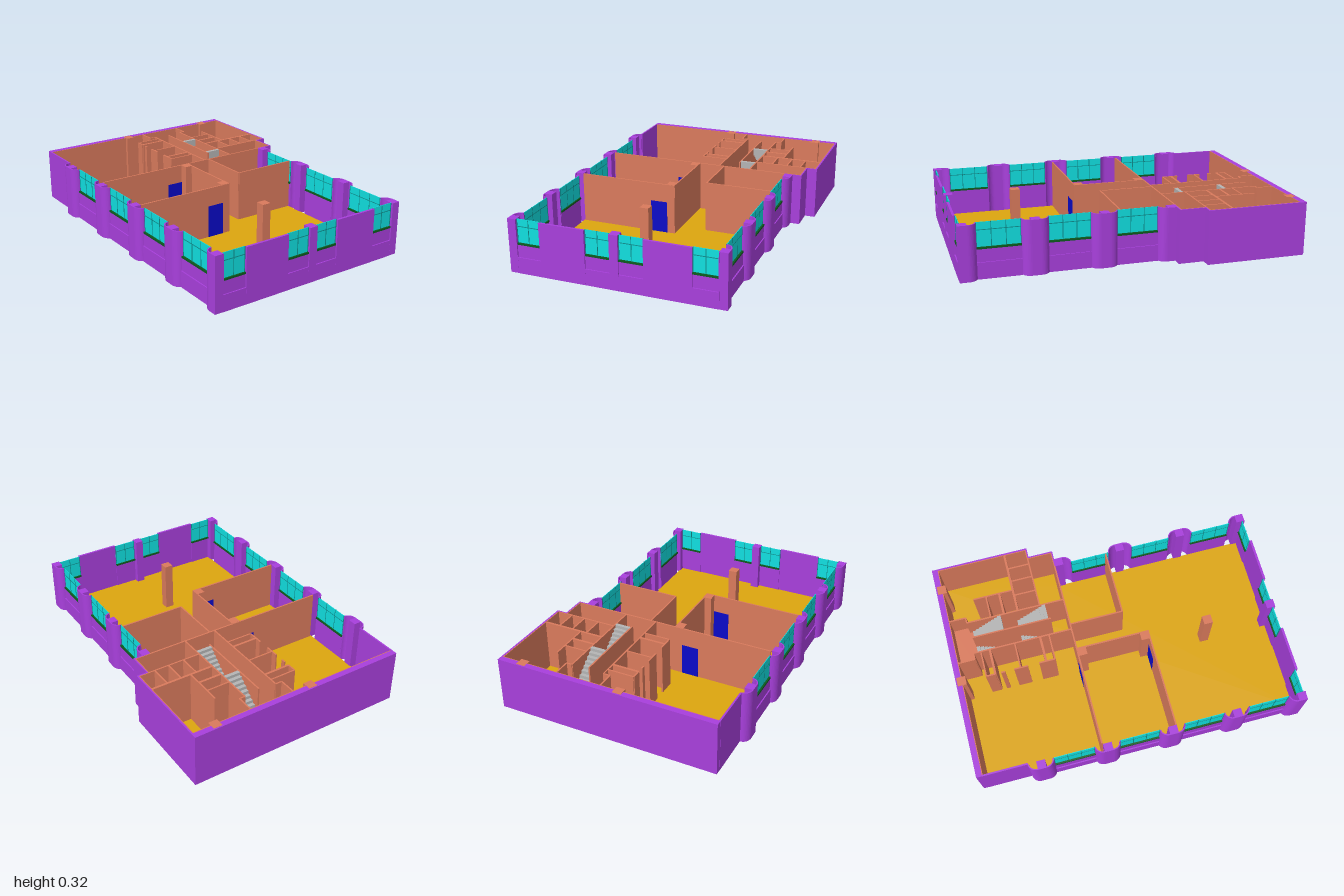
import * as THREE from 'three';

const H = 0.324;     // wall height
const SLAB = 0.012;  // floor thickness
const AXIS = -0.0625; // the long sides mirror about this x
const paint = (color) => new THREE.MeshStandardMaterial({ color });
const purple = paint(0xa83fdc), clay = paint(0xd97a5c), yellow = paint(0xdca50f);
const glass = paint(0x10dfe0), green = paint(0x0b5a1e), frame = paint(0x0b8f8f);
const blue = paint(0x0a0ac8), grey = paint(0xb4b4b4);

// Box given by its limits on each axis
function block(parent, name, mat, x0, x1, y0, y1, z0, z1) {
  const m = new THREE.Mesh(new THREE.BoxGeometry(Math.abs(x1 - x0), y1 - y0, Math.abs(z1 - z0)), mat);
  m.position.set((x0 + x1) / 2, (y0 + y1) / 2, (z0 + z1) / 2);
  m.name = name;
  parent.add(m);
  return m;
}

// Plan outline of [x, z] points raised from y0 to y1
function slab(parent, name, mat, pts, y0, y1) {
  const shape = new THREE.Shape(pts.map(([x, z]) => new THREE.Vector2(x, -z)));
  const geo = new THREE.ExtrudeGeometry(shape, { depth: y1 - y0, bevelEnabled: false });
  geo.rotateX(-Math.PI / 2).translate(0, y0, 0);
  const m = new THREE.Mesh(geo, mat);
  m.name = name;
  parent.add(m);
  return m;
}

// Window bay of width w facing local +z: recessed panel, sill, glass and bars
function windowBay(w, depth, bars) {
  const g = new THREE.Group();
  g.name = 'windowBay';
  const h = w / 2;
  block(g, 'baseWall', purple, -h, h, 0, 0.097, -depth, 0);
  block(g, 'recessedPanel', purple, -h, h, 0.097, 0.172, -depth, -0.007);
  block(g, 'sill', green, -h, h, 0.172, 0.183, -depth - 0.008, -0.005);
  block(g, 'pane', glass, -h, h, 0.183, H, -depth, -depth + 0.004);
  block(g, 'transom', frame, -h, h, 0.278, 0.282, -depth - 0.001, -depth + 0.006);
  for (let i = 0; i <= bars + 1; i++) {
    const x = -h + 0.002 + (i * (w - 0.004)) / (bars + 1);
    block(g, 'mullion', frame, x - 0.002, x + 0.002, 0.183, H, -depth - 0.001, -depth + 0.006);
  }
  return g;
}

// Quarter-round shell running from the wall to the pier block
function pierShell(parent, s, z, dir) {
  const pts = [], t = 0.007, inner = 0.593, rx = 0.046, rz = 0.052;
  const at = (k, cut) => {
    const a = (k / 10) * Math.PI / 2;
    return [AXIS + s * (inner + (rx - cut) * Math.sin(a)), z + dir * (0.026 + (rz - cut) * Math.cos(a))];
  };
  for (let k = 0; k <= 10; k++) pts.push(at(k, 0));
  for (let k = 10; k >= 0; k--) pts.push(at(k, t));
  slab(parent, 'pierShell', purple, pts, 0, H);
}

// Long side, s = -1 or 1, with piers and window bays
function longSide(s, piers) {
  const g = new THREE.Group();
  g.name = s > 0 ? 'leftSide' : 'rightSide';
  const X = (d) => AXIS + s * d;
  piers.forEach((z, i) => {
    block(g, 'pierBlock', purple, X(0.588), X(0.639), 0, H, z - 0.026, z + 0.026);
    if (i > 0 || s < 0) pierShell(g, s, z, -1);
    if (i < piers.length - 1) {
      pierShell(g, s, z, 1);
      const z0 = z + 0.076, z1 = piers[i + 1] - 0.076;
      const bay = windowBay(z1 - z0, 0.02, 2);
      bay.position.set(X(0.612), 0, (z0 + z1) / 2);
      bay.rotation.y = (s * Math.PI) / 2;
      g.add(bay);
    }
  });
  return g;
}

// Stepped flight from (z0, y0) to (z1, y1)
function stairs(parent, x0, x1, z0, z1, y0, y1) {
  const n = 9;
  for (let i = 0; i < n; i++) {
    const top = y0 + ((y1 - y0) * (i + 1)) / n;
    block(parent, 'step', grey, x0, x1, Math.max(0.004, top - 0.045), top,
      z0 + ((z1 - z0) * i) / n, z0 + ((z1 - z0) * (i + 1)) / n);
  }
}

export function createModel() {
  const model = new THREE.Group();
  model.name = 'officeFloor';

  slab(model, 'floor', yellow, [[-0.655, 0.988], [0.53, 0.988], [0.53, -0.25], [0.625, -0.25],
    [0.625, -0.4], [0.685, -0.4], [0.685, -0.965], [-0.655, -0.965]], 0.001, SLAB);

  model.add(longSide(-1, [-0.62, -0.22, 0.175, 0.57, 0.972]));
  model.add(longSide(1, [-0.22, 0.175, 0.57, 0.972]));

  // Front wall with recessed windows between solid stretches
  const front = new THREE.Group();
  front.name = 'frontWall';
  const openings = [[-0.65, -0.508], [-0.234, -0.088], [-0.037, 0.108], [0.381, 0.525]];
  let edge = -0.657;
  for (const [a, b] of openings) {
    block(front, 'frontWallPart', purple, edge, a, 0, H, 0.986, 1);
    const bay = windowBay(b - a, 0.018, 1);
    bay.position.set((a + b) / 2, 0, 0.9995);
    front.add(bay);
    edge = b;
  }
  block(front, 'frontWallPart', purple, edge, 0.53, 0, H, 0.986, 1);
  block(front, 'frontPier', purple, -0.088, -0.037, 0, H, 0.947, 0.9995);
  model.add(front);

  // Solid outer walls around the rear
  const outer = (...v) => block(model, 'outerWall', purple, v[0], v[1], 0, H, v[2], v[3]);
  outer(-0.655, 0.695, -1, -0.965);
  outer(-0.656, -0.646, -0.965, -0.695);
  outer(0.685, 0.695, -0.965, -0.394);
  outer(0.625, 0.685, -0.402, -0.394);
  outer(0.625, 0.633, -0.394, -0.242);
  outer(0.53, 0.625, -0.25, -0.242);

  // Interior partitions: x0, z0, x1, z1 along the centre line, with optional thickness
  const partitions = [
    [-0.646, -0.25, 0.625, -0.25], [-0.65, 0.198, -0.036, 0.198], [-0.04, -0.25, -0.04, 0.198],
    [0.125, -0.25, 0.125, 0.08], [0.125, 0.08, 0.53, 0.08],
    // stair core
    [0.092, -0.86, 0.092, -0.25], [0.295, -0.86, 0.295, -0.25], [0.194, -0.845, 0.194, -0.355],
    [0.052, -0.965, 0.052, -0.86], [0.052, -0.86, 0.092, -0.86],
    [0.33, -0.965, 0.33, -0.86], [0.295, -0.86, 0.33, -0.86],
    // small rooms on one side of the core
    [-0.07, -0.815, 0.092, -0.815], [-0.07, -0.76, 0.092, -0.76, 0.014], [-0.07, -0.605, 0.092, -0.605],
    [-0.07, -0.447, 0.092, -0.447, 0.014], [-0.07, -0.392, 0.092, -0.392],
    [-0.07, -0.815, -0.07, -0.76], [-0.07, -0.725, -0.07, -0.7], [-0.07, -0.645, -0.07, -0.56],
    [-0.07, -0.49, -0.07, -0.392],
    // rooms and cubicles on the other side
    [0.295, -0.71, 0.437, -0.71], [0.295, -0.627, 0.437, -0.627, 0.014], [0.437, -0.79, 0.437, -0.54],
    [0.295, -0.54, 0.685, -0.54, 0.014], [0.295, -0.403, 0.685, -0.403],
    [0.4, -0.54, 0.4, -0.403], [0.497, -0.54, 0.497, -0.403], [0.585, -0.54, 0.585, -0.403],
    // linings of the outer walls
    [-0.646, -0.9625, 0.685, -0.9625, 0.005], [0.6825, -0.965, 0.6825, -0.4, 0.005],
    [0.6225, -0.4, 0.6225, -0.25, 0.005],
  ];
  for (const [x0, z0, x1, z1, t = 0.009] of partitions) {
    const alongX = z0 === z1, px = alongX ? 0 : t / 2, pz = alongX ? t / 2 : 0;
    block(model, 'partition', clay, x0 - px, x1 + px, 0.004, H - 0.0005, z0 - pz, z1 + pz);
  }

  // Free-standing columns
  for (const [x, z] of [[-0.0625, -0.965], [0.55, -0.965], [-0.0625, -0.222], [-0.0625, 0.172], [-0.0625, 0.57]])
    block(model, 'column', clay, x - 0.027, x + 0.027, 0.004, H + 0.0005, z - 0.027, z + 0.027);

  // Doors showing on both faces of their walls
  for (const z of [-0.25, 0.198])
    block(model, 'door', blue, -0.19, -0.085, SLAB, 0.21, z - 0.006, z + 0.006);

  // Staircases and rear landing
  const core = new THREE.Group();
  core.name = 'staircase';
  const half = 0.165;
  block(core, 'landing', clay, 0.055, 0.327, half - 0.02, half, -0.96, -0.862);
  block(core, 'landingEdge', clay, 0.096, 0.291, half - 0.02, half, -0.862, -0.845);
  stairs(core, 0.096, 0.19, -0.65, -0.845, SLAB, half);
  stairs(core, 0.198, 0.291, -0.845, -0.65, half, H);
  stairs(core, 0.096, 0.19, -0.39, -0.56, SLAB, half);
  stairs(core, 0.198, 0.291, -0.56, -0.37, half, H);
  model.add(core);

  return model;
}
